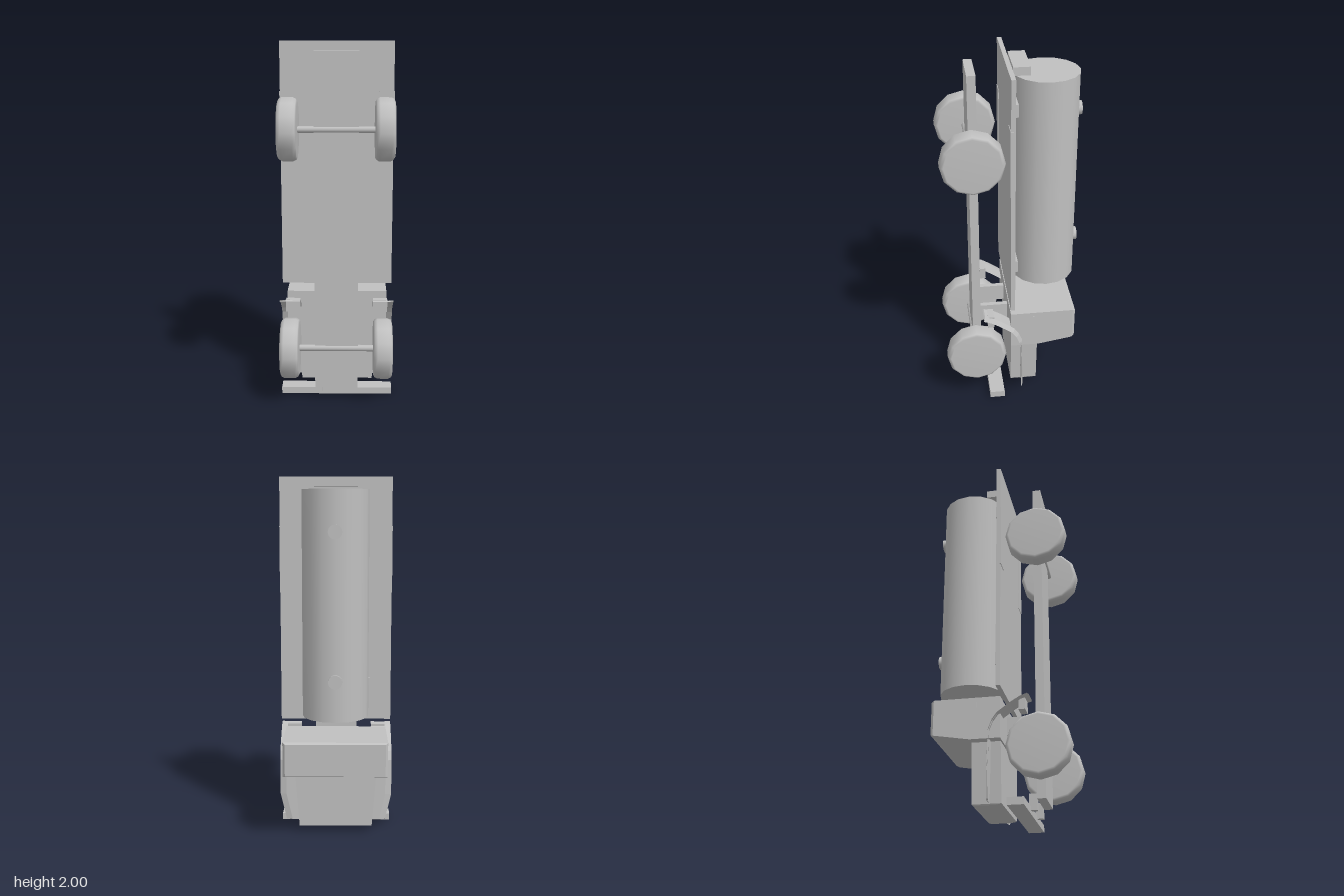
import * as THREE from 'three';
import { ConvexGeometry } from 'three/addons/geometries/ConvexGeometry.js';

// Tanker truck standing on its nose: y runs nose to tail, -z is the truck's roof side.
export function createModel() {
  const model = new THREE.Group();
  model.name = 'tankerTruck';
  const grey = new THREE.MeshStandardMaterial({ color: 0xc0c0c0, side: THREE.DoubleSide });
  grey.name = 'plain grey';

  const add = (name, geometry, x = 0, y = 0, z = 0) => {
    const mesh = new THREE.Mesh(geometry, grey);
    mesh.name = name;
    mesh.position.set(x, y, z);
    model.add(mesh);
    return mesh;
  };
  // Box from its lower and upper limits
  const box = (name, x0, x1, y0, y1, z0, z1) =>
    add(name, new THREE.BoxGeometry(Math.abs(x1 - x0), y1 - y0, z1 - z0),
      (x0 + x1) / 2, (y0 + y1) / 2, (z0 + z1) / 2);
  // Convex solid mirrored across x
  const hull = (name, points) => add(name, new ConvexGeometry(
    points.flatMap(([x, y, z]) => [new THREE.Vector3(x, y, z), new THREE.Vector3(-x, y, z)])));

  // Frame and cargo bed
  box('chassis', -0.12, 0.12, 0.08, 1.955, 0.178, 0.225);
  box('bed', -0.312, 0.312, 0.635, 2, 0, 0.024);

  // Tank with its mounts and hatches
  add('tank', new THREE.CylinderGeometry(0.18, 0.18, 1.22, 16), 0, 1.315, -0.197);
  for (const y of [0.81, 1.75]) box('tankMount', -0.19, 0.19, y, y + 0.07, -0.03, 0.004);
  for (const y of [0.925, 1.707]) {
    add('tankHatch', new THREE.CylinderGeometry(0.038, 0.038, 0.03, 12), 0, y, -0.375).rotation.x = Math.PI / 2;
  }
  box('rearBox', -0.12, 0.12, 1.945, 1.99, -0.1, -0.01);

  // Cab with bevelled roof, and tapered hood
  hull('cab', [
    [0.285, 0.585, 0.02], [0.285, 0.36, 0.02], [0.285, 0.36, -0.14],
    [0.285, 0.393, -0.335], [0.285, 0.585, -0.335],
    [0.272, 0.4, -0.35], [0.272, 0.577, -0.35],
  ]);
  hull('hood', [
    [0.23, 0.36, 0.012], [0.23, 0.36, -0.142],
    [0.205, 0.043, 0.012], [0.205, 0.043, -0.142],
    [0.2, 0.037, -0.02], [0.2, 0.037, -0.125],
  ]);

  // Bumper
  box('bumper', -0.315, 0.315, 0.004, 0.043, 0.06, 0.145);

  // Axles and wheels
  const tyre = new THREE.LatheGeometry([
    [0, -0.052], [0.15, -0.052], [0.162, -0.045], [0.17, -0.03],
    [0.17, 0.03], [0.162, 0.045], [0.15, 0.052], [0, 0.052],
  ].map(([r, h]) => new THREE.Vector2(r, h)), 12);
  for (const y of [0.315, 1.545]) {
    add('axle', new THREE.CylinderGeometry(0.018, 0.018, 0.44, 10), 0, y, 0.217).rotation.z = Math.PI / 2;
    for (const s of [-1, 1]) add('wheel', tyre, s * 0.258, y, 0.217).rotation.z = Math.PI / 2;
  }

  // Fender centre line from the tail end to the nose: y, z, outer x
  const fenderPath = [
    [0.578, 0.167, 0.32], [0.565, 0.12, 0.32], [0.535, 0.07, 0.32], [0.485, 0.0, 0.32],
    [0.45, -0.025, 0.32], [0.4, -0.045, 0.32], [0.2, -0.051, 0.32], [0.05, -0.056, 0.285],
  ];
  // Closed loop: outer skin forward, inner skin back
  const fenderLoop = [
    ...fenderPath,
    ...fenderPath.map(([y, z, x]) => [y - 0.004, z + 0.007, x]).reverse(),
    fenderPath[0],
  ];
  const fender = (side) => {
    const g = new THREE.PlaneGeometry(1, 1, 2, fenderLoop.length - 1);
    const p = g.attributes.position;
    fenderLoop.forEach(([y, z, out], i) => {
      [[0.205, 0], [out - 0.035, 0], [out, 0.009]].forEach(([x, dz], j) => {
        p.setXYZ(i * 3 + j, side * x, y, z + (i % 15 === 0 ? 0 : dz));
      });
    });
    if (side < 0) {
      const ix = g.index.array;
      for (let i = 0; i < ix.length; i += 3) [ix[i], ix[i + 1]] = [ix[i + 1], ix[i]];
    }
    const flat = g.toNonIndexed();
    flat.computeVertexNormals();
    return flat;
  };

  // Paired small parts
  for (const s of [-1, 1]) {
    add('fender', fender(s));
    box('cabSupport', s * 0.08, s * 0.107, 0.43, 0.53, 0.015, 0.18);
    box('step', s * 0.205, s * 0.285, 0.505, 0.575, 0.115, 0.15);
    box('bumperBracket', s * 0.08, s * 0.11, 0.025, 0.11, 0.135, 0.178);
    box('doorHandle', s * 0.283, s * 0.288, 0.53, 0.56, -0.113, -0.106);
    box('wheelGuard', s * 0.23, s * 0.315, 1.36, 1.73, 0.01, 0.027);
  }
  return model;
}
